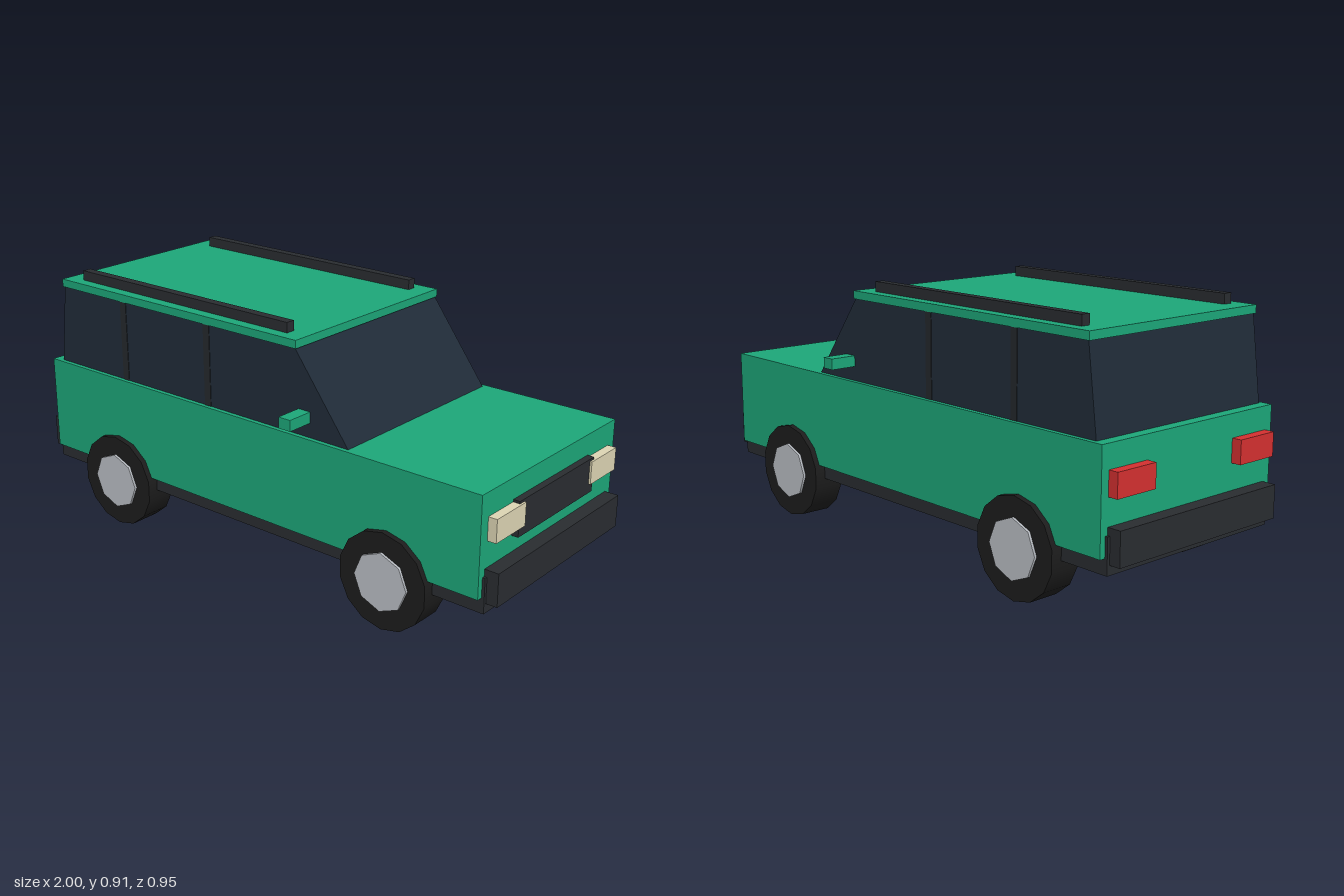
import * as THREE from 'three';

const paint = (color) => new THREE.MeshStandardMaterial({ color });

export function createModel() {
  const car = new THREE.Group();
  car.name = 'car';
  const green = paint(0x1ca578), trim = paint(0x292c30), glass = paint(0x202b38);
  const pillarMat = paint(0x24282c), rubber = paint(0x1c1c1c), metal = paint(0xb9bdc3);
  const cream = paint(0xdbd3b2), red = paint(0xd23030);

  // Box given by its extents along each axis
  function box(name, material, [x0, x1], [y0, y1], [z0, z1]) {
    const mesh = new THREE.Mesh(new THREE.BoxGeometry(x1 - x0, y1 - y0, z1 - z0), material);
    mesh.position.set((x0 + x1) / 2, (y0 + y1) / 2, (z0 + z1) / 2);
    mesh.name = name;
    car.add(mesh);
  }

  // Box repeated on both sides of the car
  function pair(name, material, x, y, [z0, z1]) {
    box(name + 'Left', material, x, y, [z0, z1]);
    box(name + 'Right', material, x, y, [-z1, -z0]);
  }

  // Lower body, chassis and bumpers
  box('body', green, [-0.95, 0.95], [0.217, 0.56], [-0.393, 0.393]);
  box('chassis', trim, [-0.96, 0.96], [0.165, 0.285], [-0.373, 0.373]);
  box('frontBumper', trim, [0.945, 1], [0.197, 0.31], [-0.363, 0.363]);
  box('rearBumper', trim, [-1, -0.945], [0.197, 0.31], [-0.363, 0.363]);

  // Glazed cabin with raked windscreen and tailgate
  const profile = new THREE.Shape([
    new THREE.Vector2(-0.912, 0.558), new THREE.Vector2(0.442, 0.558),
    new THREE.Vector2(0.222, 0.85), new THREE.Vector2(-0.875, 0.85),
  ]);
  const cabin = new THREE.Mesh(
    new THREE.ExtrudeGeometry(profile, { depth: 0.754, bevelEnabled: false }), glass);
  cabin.position.z = -0.377;
  cabin.name = 'cabinGlass';
  car.add(cabin);
  for (const x of [-0.568, -0.165])
    pair('windowPillar', pillarMat, [x - 0.014, x + 0.014], [0.56, 0.848], [0.36, 0.379]);

  // Roof, rails and mirrors
  box('roof', green, [-0.882, 0.23], [0.847, 0.875], [-0.381, 0.381]);
  pair('roofRail', trim, [-0.812, 0.16], [0.874, 0.91], [0.308, 0.341]);
  pair('mirror', green, [0.237, 0.285], [0.61, 0.648], [0.37, 0.473]);

  // Grille and lamps
  box('grille', trim, [0.94, 0.974], [0.367, 0.487], [-0.222, 0.222]);
  pair('headlight', cream, [0.94, 0.981], [0.4, 0.479], [0.197, 0.356]);
  pair('tailLight', red, [-0.985, -0.94], [0.4, 0.481], [0.198, 0.363]);

  // Wheels: tyre with a hub showing on both faces
  const tyreGeo = new THREE.CylinderGeometry(0.17, 0.17, 0.112, 14).rotateX(Math.PI / 2);
  const hubGeo = new THREE.CylinderGeometry(0.102, 0.102, 0.13, 8).rotateX(Math.PI / 2);
  for (const x of [-0.608, 0.606]) for (const side of [-1, 1]) {
    const wheel = new THREE.Group();
    wheel.name = (x > 0 ? 'front' : 'rear') + 'Wheel' + (side > 0 ? 'Left' : 'Right');
    const tyre = new THREE.Mesh(tyreGeo, rubber);
    tyre.name = 'tyre';
    const hub = new THREE.Mesh(hubGeo, metal);
    hub.name = 'hub';
    wheel.add(tyre, hub);
    wheel.position.set(x, 0.17, side * 0.357);
    car.add(wheel);
  }
  return car;
}
